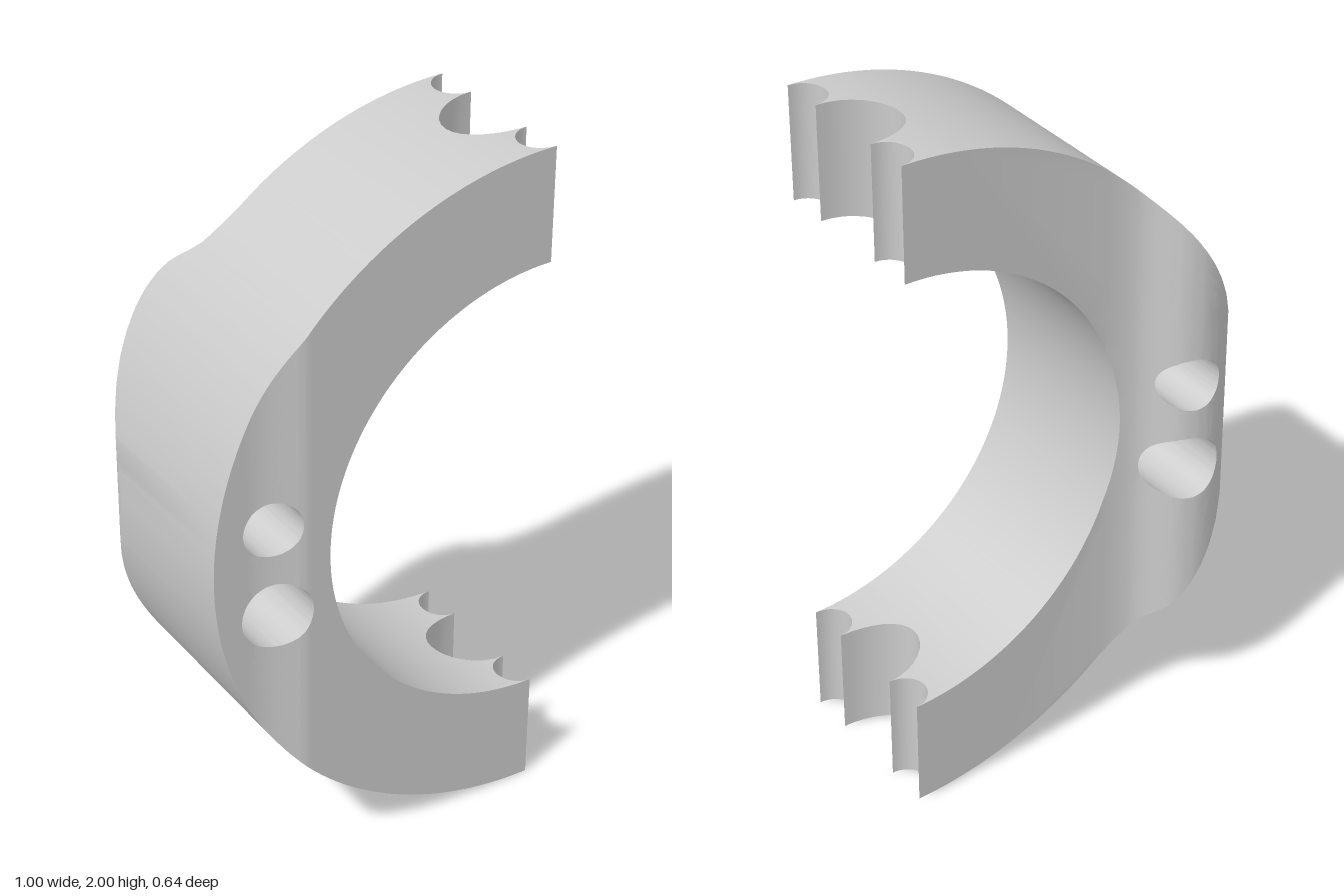
import * as THREE from 'three';
import { toCreasedNormals } from 'three/addons/utils/BufferGeometryUtils.js';

const CX = 0.5, CY = 1, R_OUT = 1, R_IN = 0.67; // ring centre and radii
const X_CUT = 0.33;                             // where the notched ends begin
const Z_BACK = -0.19, Z_FRONT = 0.32;

// [x, z] profiles of the back (rounded bulge) and front (shallow step)
const BACK = [[-0.5, -0.2], [-0.497, -0.22], [-0.488, -0.245], [-0.474, -0.269], [-0.455, -0.291],
  [-0.43, -0.309], [-0.4, -0.32], [-0.37, -0.324], [-0.34, -0.32], [-0.31, -0.308], [-0.285, -0.29],
  [-0.265, -0.266], [-0.245, -0.24], [-0.225, -0.22], [-0.2, -0.207], [-0.165, -0.197], [-0.125, Z_BACK]];
const FRONT = [[-0.38, 0.285], [-0.35, 0.289], [-0.32, 0.296], [-0.28, 0.309], [-0.26, 0.316], [-0.24, Z_FRONT]];

function along(profile, x) {
  if (x <= profile[0][0]) return profile[0][1];
  for (let i = 1; i < profile.length; i++) {
    const [x0, z0] = profile[i - 1], [x1, z1] = profile[i];
    if (x <= x1) return z0 + (z1 - z0) * (x - x0) / (x1 - x0);
  }
  return profile[profile.length - 1][1];
}

// Triangle list [[Vector3 x3], ...] of a geometry
function triangles(geometry) {
  const p = (geometry.index ? geometry.toNonIndexed() : geometry).attributes.position;
  const list = [];
  for (let i = 0; i < p.count; i += 3) {
    list.push([0, 1, 2].map(k => new THREE.Vector3().fromBufferAttribute(p, i + k)));
  }
  return list;
}

// Cut triangles along the plane x = c
function splitAt(tris, c) {
  const out = [];
  for (const t of tris) {
    const d = t.map(v => (Math.abs(v.x - c) < 1e-6 ? 0 : v.x - c));
    if (Math.min(...d) >= 0 || Math.max(...d) <= 0) { out.push(t); continue; }
    for (const side of [1, -1]) {
      const poly = [];
      for (let i = 0; i < 3; i++) {
        const j = (i + 1) % 3;
        if (d[i] * side >= 0) poly.push(t[i]);
        if (d[i] * d[j] < 0) {
          const [lo, hi] = d[i] < d[j] ? [i, j] : [j, i]; // same result from both neighbours
          const v = t[lo].clone().lerp(t[hi], d[lo] / (d[lo] - d[hi]));
          v.x = c;
          poly.push(v);
        }
      }
      for (let i = 2; i < poly.length; i++) out.push([poly[0], poly[i - 1], poly[i]]);
    }
  }
  return out;
}

// Creased geometry without the hidden joint faces on x = X_CUT
function finish(tris) {
  const kept = tris.filter(t => !t.every(v => Math.abs(v.x - X_CUT) < 1e-4));
  const pos = kept.flatMap(t => t.flatMap(v => [v.x, v.y, v.z]));
  const g = new THREE.BufferGeometry();
  g.setAttribute('position', new THREE.Float32BufferAttribute(pos, 3));
  return toCreasedNormals(g, 0.5);
}

// C-shaped ring with two through holes, its faces bent to the profiles
function ringGeometry() {
  const a = Math.acos((X_CUT - CX) / R_OUT), b = Math.acos((X_CUT - CX) / R_IN);
  const shape = new THREE.Shape();
  shape.absarc(CX, CY, R_OUT, a, 2 * Math.PI - a, false);
  shape.absarc(CX, CY, R_IN, 2 * Math.PI - b, b, true);
  for (const [x, y, r] of [[-0.33, 1.12, 0.081], [-0.32, 0.85, 0.099]]) {
    shape.holes.push(new THREE.Path().absarc(x, y, r, 0, 2 * Math.PI, true));
  }
  let tris = triangles(new THREE.ExtrudeGeometry(shape, { depth: 1, bevelEnabled: false, curveSegments: 40 }));
  for (const [x] of [...BACK, ...FRONT]) tris = splitAt(tris, x);
  return finish(tris.map(t => t.map(v =>
    new THREE.Vector3(v.x, v.y, along(v.z < 0.5 ? BACK : FRONT, v.x)))));
}

// Rows across the end face: three scooped notches meeting in sharp ridges
function notchRows() {
  const rows = [[Z_BACK, CX]], steps = 16;
  for (const [z0, z1, depth] of [[Z_BACK, -0.057, 0.068], [-0.057, 0.19, 0.165], [0.19, Z_FRONT, 0.068]]) {
    for (let i = 1; i <= steps; i++) {
      const t = Math.PI * i / steps;
      rows.push([(z0 + z1) / 2 - Math.cos(t) * (z1 - z0) / 2, CX - Math.sin(t) * depth]);
    }
  }
  return rows;
}

// Notched end of one arm; sign +1 is the upper arm, -1 the lower
function endGeometry(sign) {
  const rows = notchRows(), n = rows.length - 1;
  const box = new THREE.BoxGeometry(1, 1, 1, 6, 1, n);
  const arc = (r, x) => Math.sqrt(r * r - (x - CX) ** 2);
  return finish(triangles(box).map(t => t.map(v => {
    const [z, xEnd] = rows[Math.round((v.z + 0.5) * n)];
    const x = X_CUT + (xEnd - X_CUT) * (v.x + 0.5);
    const r = v.y * sign > 0 ? R_OUT : R_IN;
    return new THREE.Vector3(x, CY + sign * arc(r, x), z);
  })));
}

export function createModel() {
  const group = new THREE.Group();
  group.name = 'clampRing';
  const material = new THREE.MeshStandardMaterial({ color: 0xcccccc });
  const add = (name, geometry) => {
    const mesh = new THREE.Mesh(geometry, material);
    mesh.name = name;
    group.add(mesh);
  };
  add('ringBody', ringGeometry());
  add('upperNotchedEnd', endGeometry(1));
  add('lowerNotchedEnd', endGeometry(-1));
  return group;
}
